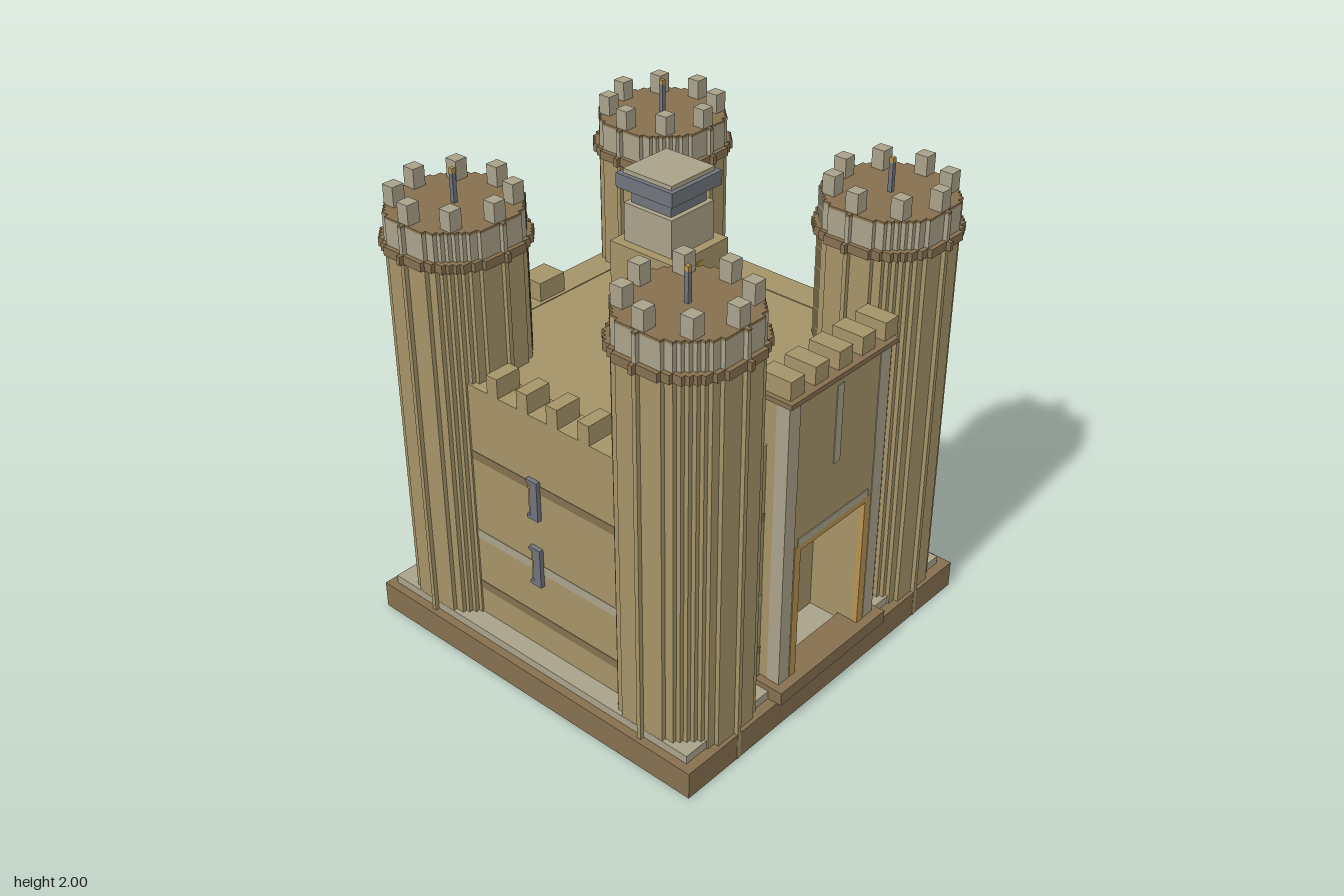
import * as THREE from 'three';

const material = (color) => new THREE.MeshStandardMaterial({ color, flatShading: true });
const tan = material(0xa59468);
const brown = material(0x86704f);
const pale = material(0xa9a28a);
const grey = material(0x70747c);
const gold = material(0xb8924f);
const STEP = 0.01835; // block size of the stepped round towers

// Box from its limits on each axis
function box(parent, name, mat, [x0, x1], [y0, y1], [z0, z1]) {
  const mesh = new THREE.Mesh(new THREE.BoxGeometry(x1 - x0, y1 - y0, z1 - z0), mat);
  mesh.position.set((x0 + x1) / 2, (y0 + y1) / 2, (z0 + z1) / 2);
  mesh.name = name;
  parent.add(mesh);
  return mesh;
}

// Upright prism whose plan is a circle rounded to whole blocks
function steppedDisc(parent, name, mat, r, y0, y1) {
  const right = [];
  for (let j = -r; j <= r; j++) {
    const x = (Math.floor(Math.sqrt(r * r - j * j)) + 0.5) * STEP;
    right.push(new THREE.Vector2(x, (j - 0.5) * STEP), new THREE.Vector2(x, (j + 0.5) * STEP));
  }
  const left = right.map((p) => new THREE.Vector2(-p.x, p.y)).reverse();
  const outline = [...right, ...left].filter((p, i, all) => i === 0 || !p.equals(all[i - 1]));
  const geometry = new THREE.ExtrudeGeometry(new THREE.Shape(outline), { depth: y1 - y0, bevelEnabled: false });
  geometry.rotateX(-Math.PI / 2);
  const mesh = new THREE.Mesh(geometry, mat);
  mesh.position.y = y0;
  mesh.name = name;
  parent.add(mesh);
}

function createTower() {
  const tower = new THREE.Group();
  tower.name = 'tower';
  steppedDisc(tower, 'towerShaft', tan, 14, 0, 1.75);
  steppedDisc(tower, 'towerRing', brown, 15, 1.712, 1.748);
  steppedDisc(tower, 'towerParapet', pale, 14, 1.75, 1.853);
  steppedDisc(tower, 'towerRoof', brown, 14, 1.853, 1.863);
  for (let i = 0; i < 8; i++) {
    const a = (i * Math.PI) / 4;
    const x = Math.cos(a) * 0.217, z = Math.sin(a) * 0.217, h = 0.0275;
    box(tower, 'towerMerlon', pale, [x - h, x + h], [1.863, 1.943], [z - h, z + h]);
  }
  box(tower, 'towerPole', grey, [-0.009, 0.009], [1.863, 1.98], [-0.009, 0.009]);
  box(tower, 'poleTip', gold, [-0.009, 0.009], [1.98, 2], [-0.009, 0.009]);
  return tower;
}

function createWalls() {
  const walls = new THREE.Group();
  walls.name = 'walls';
  const lo = -0.735, hi = 0.715, inLo = -0.605, inHi = 0.58;
  const h = [0.12, 1.238];
  box(walls, 'core', tan, [inLo, inHi], [0.12, 1.234], [inLo, inHi]);
  box(walls, 'leftDoorPanelSeam', gold, [-0.024, -0.014], [0.156, 0.77], [inHi, inHi + 0.004]);
  box(walls, 'backWall', tan, [lo, hi], h, [lo, inLo]);
  box(walls, 'sideWall', tan, [lo, inLo], h, [inLo, hi]);
  box(walls, 'sideWall', tan, [inHi, hi], h, [inLo, hi]);
  // Front wall around the doorway
  box(walls, 'frontWall', tan, [inLo, -0.215], h, [inHi, hi]);
  box(walls, 'frontWall', tan, [0.185, inHi], h, [inHi, hi]);
  box(walls, 'frontWallLintel', tan, [-0.215, 0.185], [0.77, 1.238], [inHi, hi]);

  // Coloured courses set flush in the walls
  const e = 0.002;
  for (const [y0, y1, mat] of [[0.28, 0.317, brown], [0.53, 0.57, pale], [0.905, 0.942, brown]]) {
    const y = [y0, y1];
    box(walls, 'backCourse', mat, [lo, hi], y, [lo - e, lo + 0.02]);
    box(walls, 'sideCourse', mat, [lo - e, lo + 0.02], y, [lo, hi]);
    box(walls, 'sideCourse', mat, [hi - 0.02, hi + e], y, [lo, hi]);
    box(walls, 'frontCourse', mat, [lo, -0.25], y, [hi - 0.02, hi + e]);
    box(walls, 'frontCourse', mat, [0.22, hi], y, [hi - 0.02, hi + e]);
  }

  // Wall merlons
  for (const z of [-0.24, -0.083, 0.07, 0.228]) {
    box(walls, 'sideMerlon', tan, [lo, -0.62], [1.238, 1.32], [z - 0.028, z + 0.028]);
  }
  for (const x of [[-0.267, -0.21], [-0.11, 0.026]]) {
    box(walls, 'backMerlon', tan, x, [1.238, 1.32], [lo, -0.62]);
    box(walls, 'frontMerlon', tan, x, [1.238, 1.32], [0.595, hi]);
  }

  // Arrow slits with a bracket frame on both sides
  for (const x of [[lo - 0.02, lo + 0.01], [hi - 0.01, hi + 0.02]]) {
    for (const y of [0.475, 0.787]) {
      box(walls, 'slitFrame', grey, x, [y, y + 0.175], [-0.047, -0.008]);
      box(walls, 'slitFrameSill', grey, x, [y, y + 0.016], [-0.066, -0.047]);
      box(walls, 'slitFrameHead', grey, x, [y + 0.159, y + 0.175], [-0.066, -0.047]);
      box(walls, 'slitGlow', gold, [x[0] + 0.018, x[1] - 0.018].sort((a, b) => a - b),
        [y + 0.016, y + 0.159], [-0.066, -0.047]);
    }
  }
  return walls;
}

function createGatehouse() {
  const gate = new THREE.Group();
  gate.name = 'gatehouse';
  const back = 0.632, front = 0.81, left = -0.31, right = 0.283;
  box(gate, 'gateStep', brown, [-0.345, 0.32], [0.12, 0.18], [0.72, 0.853]);
  box(gate, 'gateJamb', tan, [left, -0.215], [0.18, 0.77], [back, front]);
  box(gate, 'gateJamb', tan, [0.185, right], [0.18, 0.77], [back, front]);
  box(gate, 'gateUpper', tan, [left, right], [0.77, 1.435], [back, front]);
  // Pale corner piers, slightly wider below
  const e = 0.003;
  for (const [y0, y1, w] of [[0.18, 1.03, 0.058], [1.03, 1.435, 0.06]]) {
    box(gate, 'cornerPier', pale, [left - e, left + w], [y0, y1], [front - 0.055, front + e]);
    box(gate, 'cornerPier', pale, [right - w, right + e], [y0, y1], [front - 0.055, front + e]);
  }
  // Door frame, lintel and window strip
  const skin = [front - 0.02, front + 0.004];
  box(gate, 'doorFrameSide', gold, [-0.248, -0.213], [0.18, 0.79], skin);
  box(gate, 'doorFrameSide', gold, [0.183, 0.22], [0.18, 0.79], skin);
  box(gate, 'doorFrameHead', gold, [-0.213, 0.183], [0.768, 0.79], skin);
  box(gate, 'doorLintel', pale, [-0.23, 0.2], [0.79, 0.825], skin);
  box(gate, 'gateWindow', pale, [-0.036, 0.001], [1.06, 1.395], skin);
  box(gate, 'sideBracket', tan, [right, 0.317], [1.06, 1.14], [0.71, 0.79]);
  // Cap and merlons
  box(gate, 'gateCap', brown, [-0.328, 0.302], [1.435, 1.455], [0.655, 0.832]);
  for (let i = 0; i < 5; i++) {
    const x = -0.308 + i * 0.1375;
    box(gate, 'gateMerlon', tan, [x, x + 0.077], [1.455, 1.53], [0.672, 0.81]);
  }
  return gate;
}

function createKeep() {
  const keep = new THREE.Group();
  keep.name = 'keep';
  const c = -0.0125;
  // Stacked square tiers: half width, bottom, top
  const tiers = [
    ['keepBody', tan, 0.156, 1.234, 1.69], ['keepUpper', pale, 0.118, 1.69, 1.845],
    ['keepNeck', grey, 0.098, 1.845, 1.908], ['keepCornice', grey, 0.138, 1.908, 1.965],
    ['keepRoof', pale, 0.119, 1.965, 1.982],
  ];
  for (const [name, mat, w, y0, y1] of tiers) box(keep, name, mat, [c - w, c + w], [y0, y1], [c - w, c + w]);
  // Window strips, standing out on two faces and flush on the other two
  const strip = [-0.034, 0.003], span = [-0.187, 0.146], y = [1.234, 1.652];
  box(keep, 'keepWindows', gold, strip, y, span);
  box(keep, 'keepWindows', gold, span, y, strip);
  return keep;
}

export function createModel() {
  const castle = new THREE.Group();
  castle.name = 'castle';
  box(castle, 'base', brown, [-0.853, 0.833], [0.001, 0.12], [-0.853, 0.833]);
  box(castle, 'plinth', pale, [-0.817, 0.79], [0.12, 0.156], [-0.817, 0.79]);
  castle.add(createWalls(), createGatehouse(), createKeep());
  for (const x of [-0.5685, 0.5685]) {
    for (const z of [-0.5685, 0.5685]) {
      const tower = createTower();
      tower.position.set(x, 0, z);
      castle.add(tower);
    }
  }
  return castle;
}
